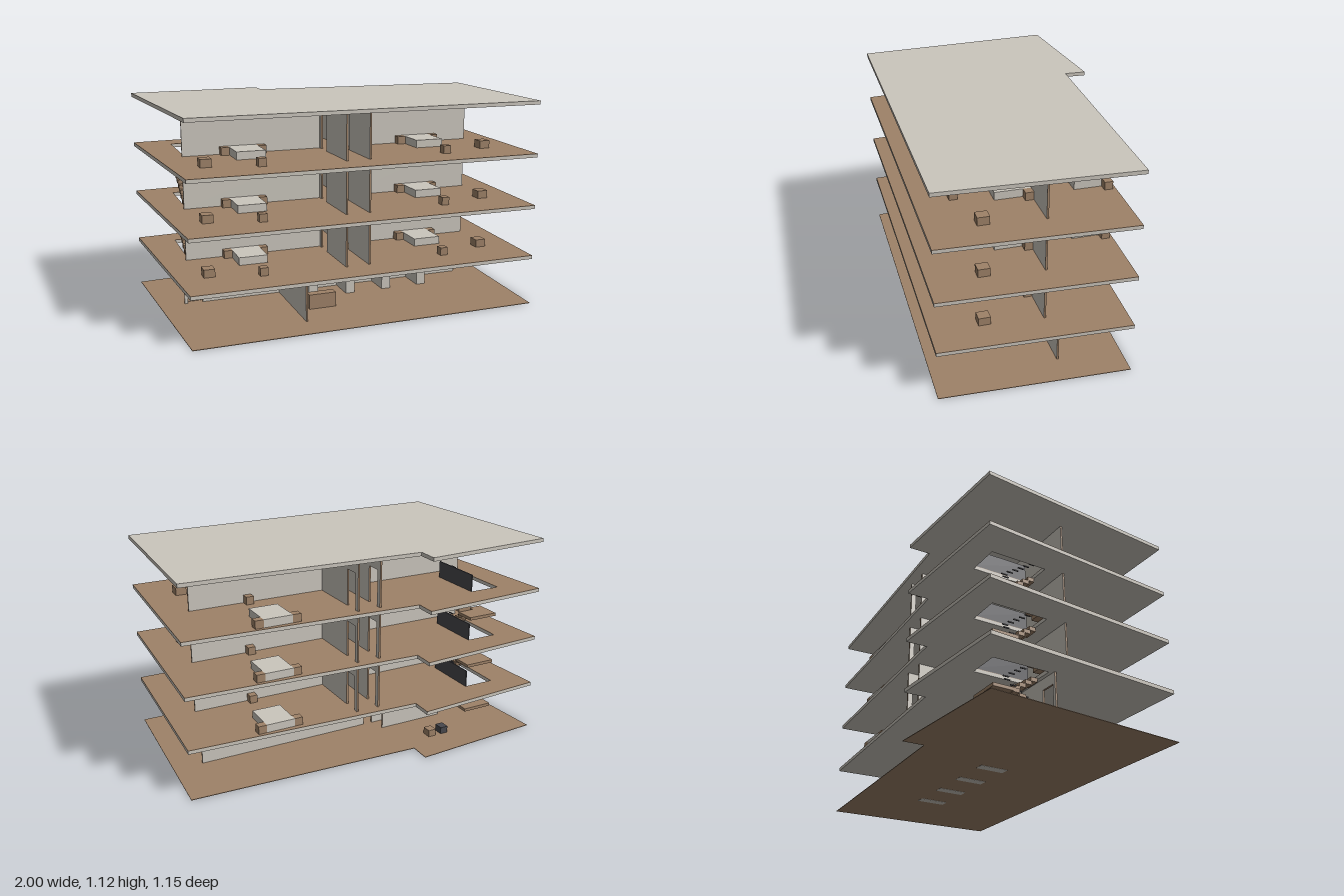
import * as THREE from 'three';

const mat = (name, color, side = THREE.FrontSide) => {
  const m = new THREE.MeshStandardMaterial({ color, side });
  m.name = name;
  return m;
};

export function createModel() {
  const concrete = mat('concrete', 0xcbc6bd);
  const wood = mat('wood', 0x9e8268);
  const dark = mat('dark metal', 0x48484d);

  const model = new THREE.Group();
  model.name = 'building';
  const STOREY = 0.281, SLAB = 0.02, FIRST = 0.276;

  const add = (parent, name, geometry, material) => {
    const mesh = new THREE.Mesh(geometry, material);
    mesh.name = name;
    parent.add(mesh);
    return mesh;
  };
  // Box given by its lower and upper limits on each axis
  const box = (parent, name, material, x0, x1, y0, y1, z0, z1) => {
    const g = new THREE.BoxGeometry(x1 - x0, y1 - y0, z1 - z0);
    g.translate((x0 + x1) / 2, (y0 + y1) / 2, (z0 + z1) / 2);
    return add(parent, name, g, material);
  };
  const rect = (Type, a0, a1, b0, b1) => new Type([
    new THREE.Vector2(a0, b0), new THREE.Vector2(a1, b0),
    new THREE.Vector2(a1, b1), new THREE.Vector2(a0, b1),
  ]);
  const extrude = (shape, depth) => new THREE.ExtrudeGeometry(shape, { depth, bevelEnabled: false });

  // Floor outline in x and z, optionally with the stairwell cut out
  const outline = (withStairwell) => {
    const s = new THREE.Shape([
      [-1, -0.53], [-0.262, -0.578], [-0.265, -0.463],
      [1, -0.403], [0.953, 0.575], [-0.92, 0.575],
    ].map(([x, z]) => new THREE.Vector2(x, z)));
    if (withStairwell) s.holes.push(rect(THREE.Path, -0.812, -0.64, -0.405, -0.1));
    return s;
  };
  const plate = (parent, name, material, top, thickness, withStairwell) => {
    const g = extrude(outline(withStairwell), thickness);
    g.rotateX(Math.PI / 2).translate(0, top, 0);
    return add(parent, name, g, material);
  };

  // Wall: concrete faces, wooden ends and door reveals.
  // axis 'x' runs along x at z = pos, axis 'z' runs along z at x = pos.
  const wall = (parent, name, axis, pos, a0, a1, y0, y1, doors = []) => {
    const T = 0.01;
    const pts = [[a0, y0]];
    for (const [d0, d1] of doors) {
      pts.push([d0, y0], [d0, y0 + 0.195], [d1, y0 + 0.195], [d1, y0]);
    }
    pts.push([a1, y0], [a1, y1], [a0, y1]);
    const g = extrude(new THREE.Shape(pts.map(([a, y]) => new THREE.Vector2(a, y))), T);
    g.translate(0, 0, -T / 2);
    if (axis === 'z') g.rotateY(-Math.PI / 2).translate(pos, 0, 0);
    else g.translate(0, 0, pos);
    return add(parent, name, g, [concrete, wood]);
  };

  // Two flights of steps with a landing half way and stepped handrails
  const stairs = (parent, base) => {
    const g = new THREE.Group();
    g.name = 'stairs';
    parent.add(g);
    const rise = STOREY / 13, run = 0.0325;
    for (let i = 0; i < 6; i++) {
      const z = -0.1 - i * run, y = base + (i + 1) * rise;
      box(g, 'lowerStep', wood, -0.812, -0.735, y - rise, y, z - run - 0.004, z);
      box(g, 'lowerHandrail', dark, -0.735, -0.728, y + 0.072, y + 0.077, z - run, z);
      const z2 = -0.295 + i * run, y2 = base + (i + 7) * rise;
      box(g, 'upperStep', wood, -0.717, -0.64, y2 - rise, y2, z2 - 0.004, z2 + run);
      box(g, 'upperHandrail', dark, -0.724, -0.717, y2 + 0.072, y2 + 0.077, z2, z2 + run);
    }
    const top = base + 6 * rise;
    box(g, 'landing', wood, -0.812, -0.64, top - 0.017, top, -0.405, -0.295);
  };

  // Bed with two bedside tables and a stool at its foot;
  // head is the z of the headboard, dir points from head to foot
  const bedSet = (parent, cx, y, head, dir) => {
    const g = new THREE.Group();
    g.name = 'bedSet';
    parent.add(g);
    const item = (name, m, x, w, near, far) => {
      const a = head + dir * near, b = head + dir * far;
      box(g, name, m, cx + x - w / 2, cx + x + w / 2, y, y + 0.042, Math.min(a, b), Math.max(a, b));
    };
    item('bed', concrete, 0, 0.155, 0, 0.187);
    for (const s of [-1, 1]) item('bedsideTable', wood, s * 0.1, 0.045, 0, 0.043);
    item('stool', wood, 0, 0.042, 0.355, 0.397);
  };

  // Ground storey
  const ground = new THREE.Group();
  ground.name = 'groundStorey';
  model.add(ground);
  const G = 0.004, ceiling = FIRST - SLAB;
  plate(ground, 'groundFloor', wood, G, 0.003, false);
  wall(ground, 'longWall', 'x', -0.075, -0.83, 0.825, G, ceiling, [[-0.812, -0.73], [-0.215, -0.128]]);
  wall(ground, 'crossWall', 'z', -0.285, -0.07, 0.41, G, ceiling);
  wall(ground, 'rearWall', 'x', -0.164, -0.62, -0.235, G, ceiling);
  box(ground, 'counter', wood, -0.217, -0.065, G, 0.085, 0.2, 0.25);
  for (let i = 0; i < 4; i++) {
    const x = -0.135 + i * 0.2215;
    box(ground, 'concreteBlock', concrete, x - 0.026, x + 0.026, 0, 0.135, -0.079, 0.08);
  }
  box(ground, 'woodBin', wood, -0.455, -0.41, G, 0.042, -0.39, -0.337);
  box(ground, 'darkBin', dark, -0.535, -0.49, G, 0.042, -0.39, -0.337);
  stairs(ground, G);

  // Three equal upper storeys
  for (let n = 0; n < 3; n++) {
    const storey = new THREE.Group();
    storey.name = 'upperStorey';
    model.add(storey);
    const y = FIRST + n * STOREY, top = y + STOREY - SLAB;
    plate(storey, 'slab', concrete, y - 0.002, SLAB - 0.002, true);
    plate(storey, 'woodFloor', wood, y, 0.002, true);
    for (const s of [-1, 1]) {
      wall(storey, 'corridorWall', 'z', s * 0.064, -0.405, 0.41, y, top, [[-0.378, -0.293], [0.031, 0.118]]);
      wall(storey, 'partitionWall', 'x', 0, s < 0 ? -0.828 : 0.069, s < 0 ? -0.069 : 0.825, y, top);
      bedSet(storey, s * 0.507, y, 0.005, 1);
      // Corner seats, side by side near the outer edge
      box(storey, 'cornerSeat', wood, s * 0.773 - 0.029, s * 0.773 + 0.029, y, y + 0.042, 0.27, 0.332);
    }
    bedSet(storey, 0.507, y, -0.403, 1);
    box(storey, 'stairGuard', dark, -0.64, -0.634, y, y + 0.093, -0.405, -0.1);
    if (n < 2) stairs(storey, y);
  }

  // Flat roof
  plate(model, 'roof', concrete, FIRST + 3 * STOREY, SLAB, false);
  return model;
}
